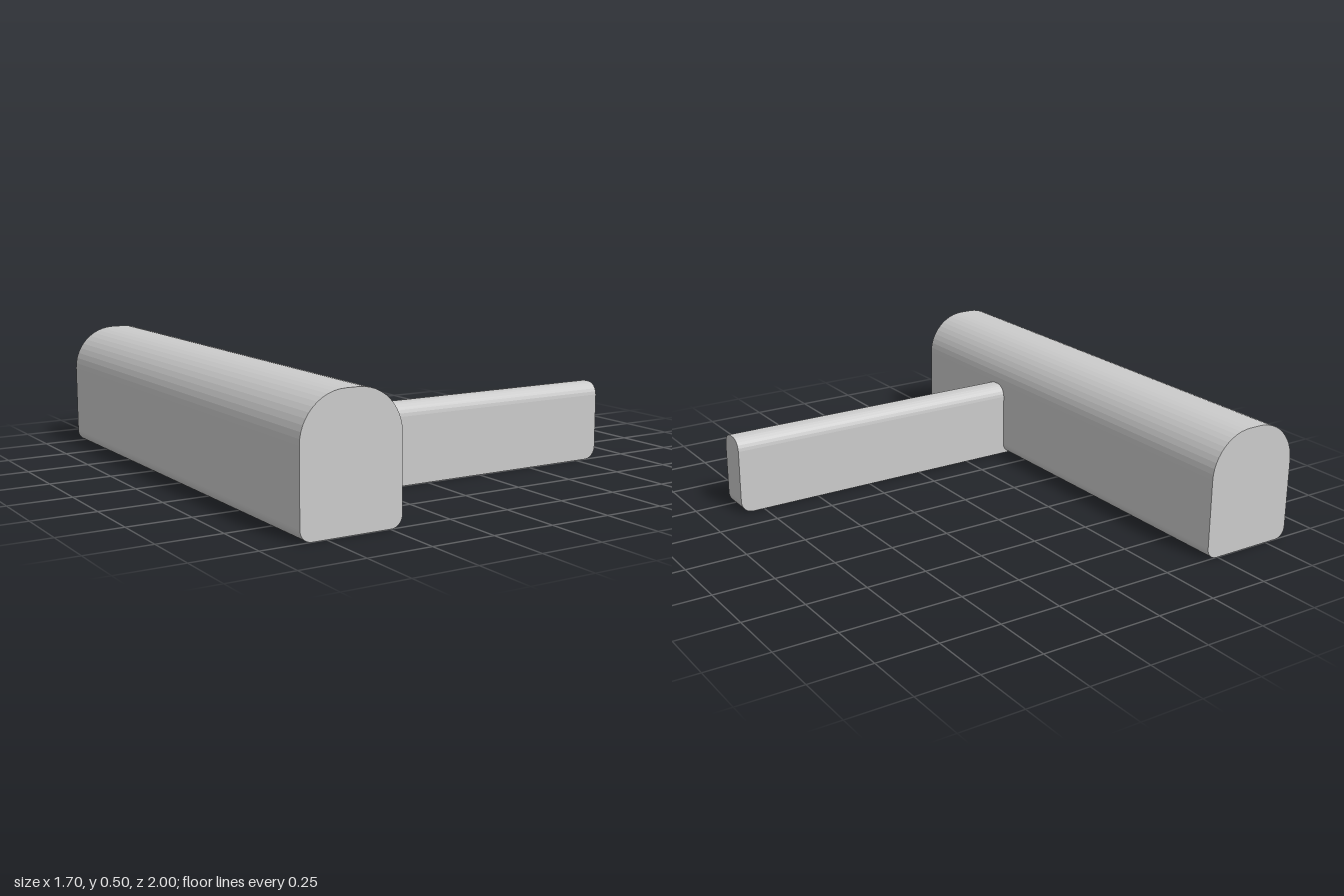
import * as THREE from 'three';

const SEG = 6; // facets per rounded corner
const material = new THREE.MeshStandardMaterial({ color: 0xcccccc, flatShading: true });

// Long bar: arched cross-section with small bottom roundings, run along z
function longBar() {
  const w = 0.2, h = 0.5, rTop = 0.175, rLow = 0.045;
  const s = new THREE.Shape();
  s.moveTo(-w + rLow, 0);
  s.lineTo(w - rLow, 0);
  s.absarc(w - rLow, rLow, rLow, -Math.PI / 2, 0);
  s.absarc(w - rTop, h - rTop, rTop, 0, Math.PI / 2);
  s.absarc(-w + rTop, h - rTop, rTop, Math.PI / 2, Math.PI);
  s.absarc(-w + rLow, rLow, rLow, Math.PI, Math.PI * 1.5);
  return new THREE.ExtrudeGeometry(s, { depth: 2, bevelEnabled: false, curveSegments: SEG })
    .translate(-0.65, 0, -1);
}

// Side arm: stacked rectangles; the lower end edge and both upper long edges are rounded
function sideArm() {
  const x0 = -0.55, x1 = 0.85, half = 0.0625, h = 0.32, r = 0.05, zMid = 0.4375;
  const levels = [];
  for (let i = 0; i <= SEG; i++) {
    const a = (i / SEG) * Math.PI / 2;
    levels.push([r * (1 - Math.cos(a)), x1 - r * (1 - Math.sin(a)), half]);
  }
  for (let i = 0; i <= SEG; i++) {
    const a = (i / SEG) * Math.PI / 2;
    levels.push([h - r * (1 - Math.sin(a)), x1, half - r * (1 - Math.cos(a))]);
  }
  const pos = [], idx = [];
  for (const [y, x, w] of levels) {
    pos.push(x0, y, zMid + w, x, y, zMid + w, x, y, zMid - w, x0, y, zMid - w);
  }
  for (let l = 0; l < levels.length - 1; l++) {
    for (let k = 0; k < 4; k++) {
      const a = l * 4 + k, b = l * 4 + (k + 1) % 4;
      idx.push(a, b, b + 4, a, b + 4, a + 4);
    }
  }
  const t = (levels.length - 1) * 4;
  idx.push(0, 2, 1, 0, 3, 2, t, t + 1, t + 2, t, t + 2, t + 3);
  const g = new THREE.BufferGeometry();
  g.setAttribute('position', new THREE.Float32BufferAttribute(pos, 3));
  g.setIndex(idx);
  const flat = g.toNonIndexed();
  flat.computeVertexNormals();
  return flat;
}

export function createModel() {
  const group = new THREE.Group();
  for (const [name, geometry] of [['longBar', longBar()], ['sideArm', sideArm()]]) {
    const mesh = new THREE.Mesh(geometry, material);
    mesh.name = name;
    group.add(mesh);
  }
  return group;
}
